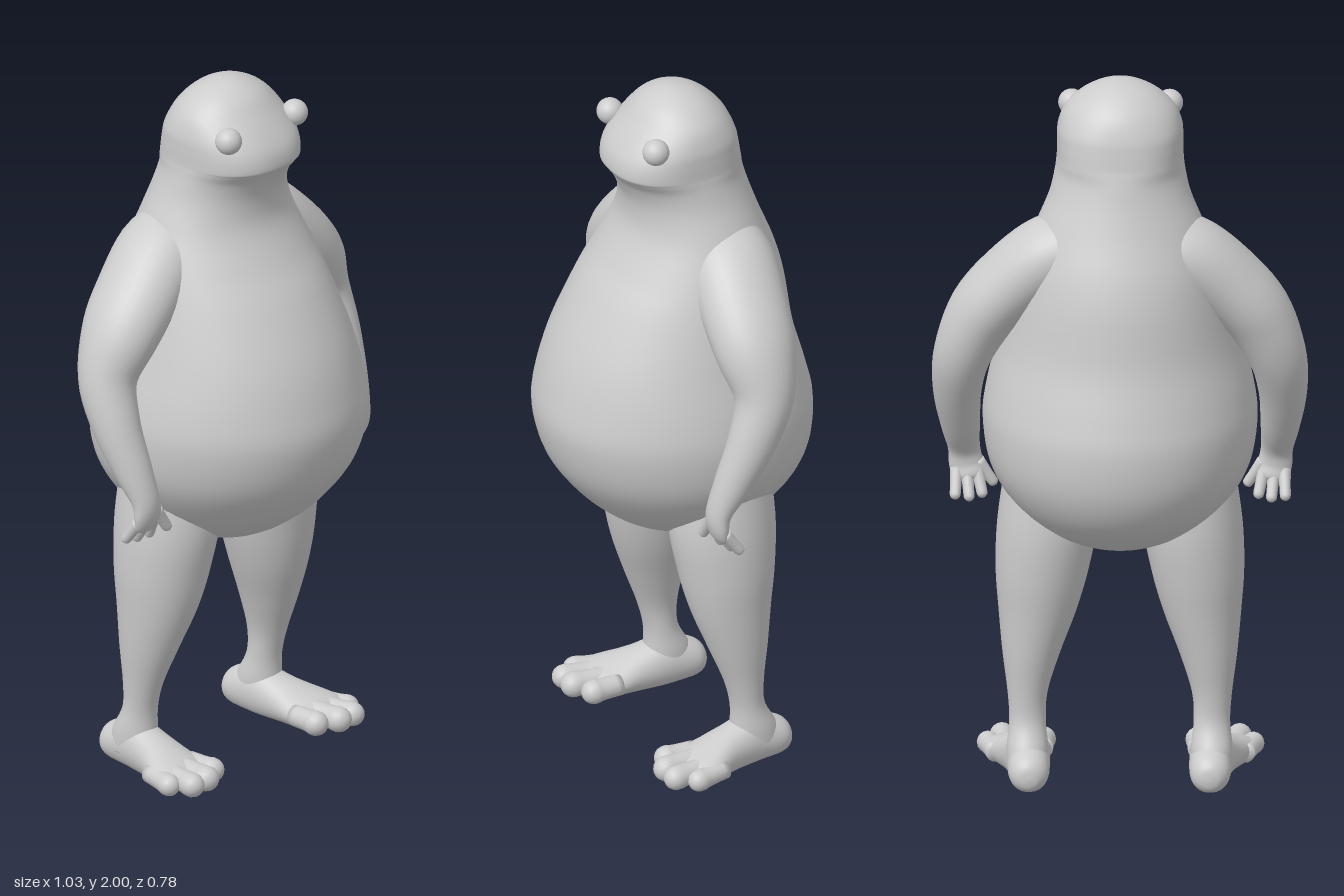
import * as THREE from 'three';

const V = (x, y, z) => new THREE.Vector3(x, y, z);

// Catmull-Rom blend of one number list
function blend(a, b, c, d, t) {
  return 0.5 * (2 * b + (c - a) * t + (2 * a - 5 * b + 4 * c - d) * t * t + (3 * b - a - 3 * c + d) * t * t * t);
}

// Smooth skin through rings [x, y, z, radiusA, radiusB, roundness].
// ref: direction of radiusB; dir: fixed facing of the rings (otherwise they follow the path)
function loft(rings, { ref = V(0, 0, 1), dir = null, steps = 5, sides = 32, floor = -Infinity } = {}) {
  const at = (i) => rings[Math.min(Math.max(i, 0), rings.length - 1)];
  const fine = [];
  for (let i = 0; i < rings.length - 1; i++) {
    for (let k = 0; k < steps; k++) {
      fine.push([0, 1, 2, 3, 4, 5].map((c) => {
        const g = (j) => at(j)[c] ?? 2;
        return blend(g(i - 1), g(i), g(i + 1), g(i + 2), k / steps);
      }));
    }
  }
  fine.push([...rings[rings.length - 1]]);
  const centre = (i) => V(...fine[Math.min(Math.max(i, 0), fine.length - 1)].slice(0, 3));
  const pos = [], index = [];
  const put = (p) => pos.push(p.x, Math.max(p.y, floor), p.z);
  fine.forEach((r, i) => {
    const T = dir ? dir.clone() : centre(i + 1).sub(centre(i - 1)).normalize();
    const B = ref.clone().addScaledVector(T, -ref.dot(T)).normalize();
    const A = B.clone().cross(T);
    const e = 2 / (r[5] ?? 2);
    for (let j = 0; j < sides; j++) {
      const c = Math.cos(j / sides * Math.PI * 2), s = Math.sin(j / sides * Math.PI * 2);
      put(centre(i)
        .addScaledVector(A, Math.max(r[3], 0.001) * Math.sign(c) * Math.abs(c) ** e)
        .addScaledVector(B, Math.max(r[4], 0.001) * Math.sign(s) * Math.abs(s) ** e));
    }
  });
  for (let i = 0; i < fine.length - 1; i++) {
    for (let j = 0; j < sides; j++) {
      const k = (j + 1) % sides, a = i * sides, b = a + sides;
      index.push(a + j, a + k, b + j, a + k, b + k, b + j);
    }
  }
  // end caps
  const first = pos.length / 3, last = (fine.length - 1) * sides;
  put(centre(0));
  put(centre(fine.length - 1));
  for (let j = 0; j < sides; j++) {
    const k = (j + 1) % sides;
    index.push(first, k, j, first + 1, last + j, last + k);
  }
  const geo = new THREE.BufferGeometry();
  geo.setAttribute('position', new THREE.Float32BufferAttribute(pos, 3));
  geo.setIndex(index);
  geo.computeVertexNormals();
  return geo;
}

// Rounded finger or toe from p to q
function digit(p, q, r0, r1) {
  const a = V(...p), b = V(...q), len = a.distanceTo(b);
  const ring = (t, r) => [...a.clone().lerp(b, t).toArray(), r, r];
  const tip = r1 / len;
  return [ring(0, r0), ring(0.5, (r0 + r1) / 2 * 0.95), ring(1 - tip, r1),
    ring(1 - tip * 0.4, r1 * 0.8), ring(1 - tip * 0.08, r1 * 0.4), ring(1, 0.001)];
}

export function createModel() {
  const model = new THREE.Group();
  const skin = new THREE.MeshStandardMaterial({ color: 0xcccccc });
  skin.name = 'grey skin';
  const add = (parent, name, geo) => {
    const mesh = new THREE.Mesh(geo, skin);
    mesh.name = name;
    parent.add(mesh);
    return mesh;
  };

  // Belly, chest, neck and head: [y, half width, front z, back z, roundness]
  const profile = [
    [0.65, 0.001, 0.0, -0.002], [0.657, 0.08, 0.07, -0.08], [0.685, 0.15, 0.14, -0.16],
    [0.73, 0.225, 0.21, -0.25], [0.8, 0.297, 0.285, -0.33], [0.9, 0.356, 0.355, -0.378],
    [1.02, 0.376, 0.388, -0.387], [1.12, 0.365, 0.378, -0.366], [1.25, 0.332, 0.34, -0.33],
    [1.4, 0.295, 0.265, -0.307], [1.5, 0.268, 0.2, -0.28], [1.6, 0.228, 0.148, -0.24],
    [1.68, 0.194, 0.143, -0.212], [1.74, 0.179, 0.165, -0.195], [1.775, 0.174, 0.187, -0.185, 2.3],
    [1.79, 0.173, 0.195, -0.181, 2.4], [1.83, 0.173, 0.188, -0.174, 2.4], [1.87, 0.17, 0.165, -0.165, 2.3],
    [1.92, 0.152, 0.127, -0.143], [1.96, 0.113, 0.092, -0.106], [1.985, 0.07, 0.055, -0.068],
    [1.997, 0.03, 0.024, -0.03], [2.0, 0.001, 0.001, -0.001],
  ];
  add(model, 'bodyAndHead', loft(
    profile.map(([y, w, f, b, n]) => [0, y, (f + b) / 2, w, (f - b) / 2, n ?? 2]),
    { dir: V(0, 1, 0), sides: 64 }));

  for (const s of [1, -1]) {
    const side = new THREE.Group();
    side.name = s > 0 ? 'leftSide' : 'rightSide';
    model.add(side);
    const flip = (rings) => rings.map(([x, ...rest]) => [x * s, ...rest]);

    // Bulging eye
    const eye = add(side, 'eye', new THREE.SphereGeometry(0.037, 24, 16));
    eye.position.set(0.134 * s, 1.885, 0.122);

    // Arm from shoulder to palm
    add(side, 'arm', loft(flip([
      [0.1, 1.54, -0.09, 0.1, 0.11], [0.19, 1.515, -0.08, 0.108, 0.125], [0.29, 1.435, -0.065, 0.104, 0.125],
      [0.375, 1.34, -0.058, 0.096, 0.115], [0.43, 1.22, -0.055, 0.08, 0.084], [0.445, 1.1, -0.01, 0.067, 0.068],
      [0.437, 0.98, 0.045, 0.054, 0.052], [0.428, 0.9, 0.082, 0.044, 0.034], [0.422, 0.85, 0.085, 0.047, 0.026],
      [0.415, 0.815, 0.072, 0.04, 0.02], [0.413, 0.803, 0.066, 0.005, 0.005],
    ])));

    // Curled fingers and thumb
    const fingers = [
      [[0.448, 0.835, 0.078], [0.452, 0.765, 0.025]],
      [[0.42, 0.83, 0.078], [0.412, 0.758, 0.03]],
      [[0.392, 0.835, 0.08], [0.375, 0.763, 0.045]],
      [[0.39, 0.86, 0.085], [0.342, 0.785, 0.09]],
    ];
    fingers.forEach(([p, q], i) => add(side, i < 3 ? 'finger' : 'thumb',
      loft(flip(digit(p, q, 0.018, 0.015)), { sides: 12, steps: 3 })));

    // Leg tapering to the ankle
    add(side, 'leg', loft(flip([
      [0.19, 0.92, -0.05, 0.12, 0.13], [0.198, 0.74, -0.047, 0.137, 0.15], [0.212, 0.6, -0.052, 0.128, 0.138],
      [0.225, 0.48, -0.058, 0.107, 0.116], [0.242, 0.36, -0.072, 0.079, 0.086], [0.252, 0.25, -0.086, 0.055, 0.057],
      [0.252, 0.17, -0.097, 0.05, 0.048], [0.252, 0.1, -0.115, 0.057, 0.066], [0.252, 0.04, -0.125, 0.055, 0.08],
    ]), { dir: V(0, -1, 0) }));

    // Flat-soled foot
    add(side, 'foot', loft(flip([
      [0.248, 0.04, -0.23, 0.005, 0.005], [0.248, 0.043, -0.222, 0.032, 0.034], [0.248, 0.048, -0.19, 0.054, 0.056],
      [0.25, 0.055, -0.11, 0.06, 0.075], [0.26, 0.045, -0.03, 0.068, 0.065], [0.28, 0.034, 0.05, 0.092, 0.048],
      [0.286, 0.03, 0.09, 0.094, 0.038], [0.288, 0.028, 0.115, 0.07, 0.025], [0.288, 0.028, 0.122, 0.005, 0.005],
    ]), { ref: V(0, 1, 0), dir: V(0, 0, 1), floor: 0 }));

    // Toes, fanned outwards
    const toes = [
      [[0.215, 0.035, 0.05], [0.21, 0.034, 0.165], 0.035],
      [[0.262, 0.04, 0.06], [0.272, 0.036, 0.198], 0.036],
      [[0.308, 0.038, 0.05], [0.33, 0.034, 0.195], 0.034],
      [[0.34, 0.034, 0.02], [0.37, 0.031, 0.14], 0.031],
    ];
    toes.forEach(([p, q, r]) => add(side, 'toe',
      loft(flip(digit(p, q, r * 0.9, r)), { ref: V(0, 1, 0), sides: 16, steps: 3, floor: 0 })));
  }
  return model;
}
